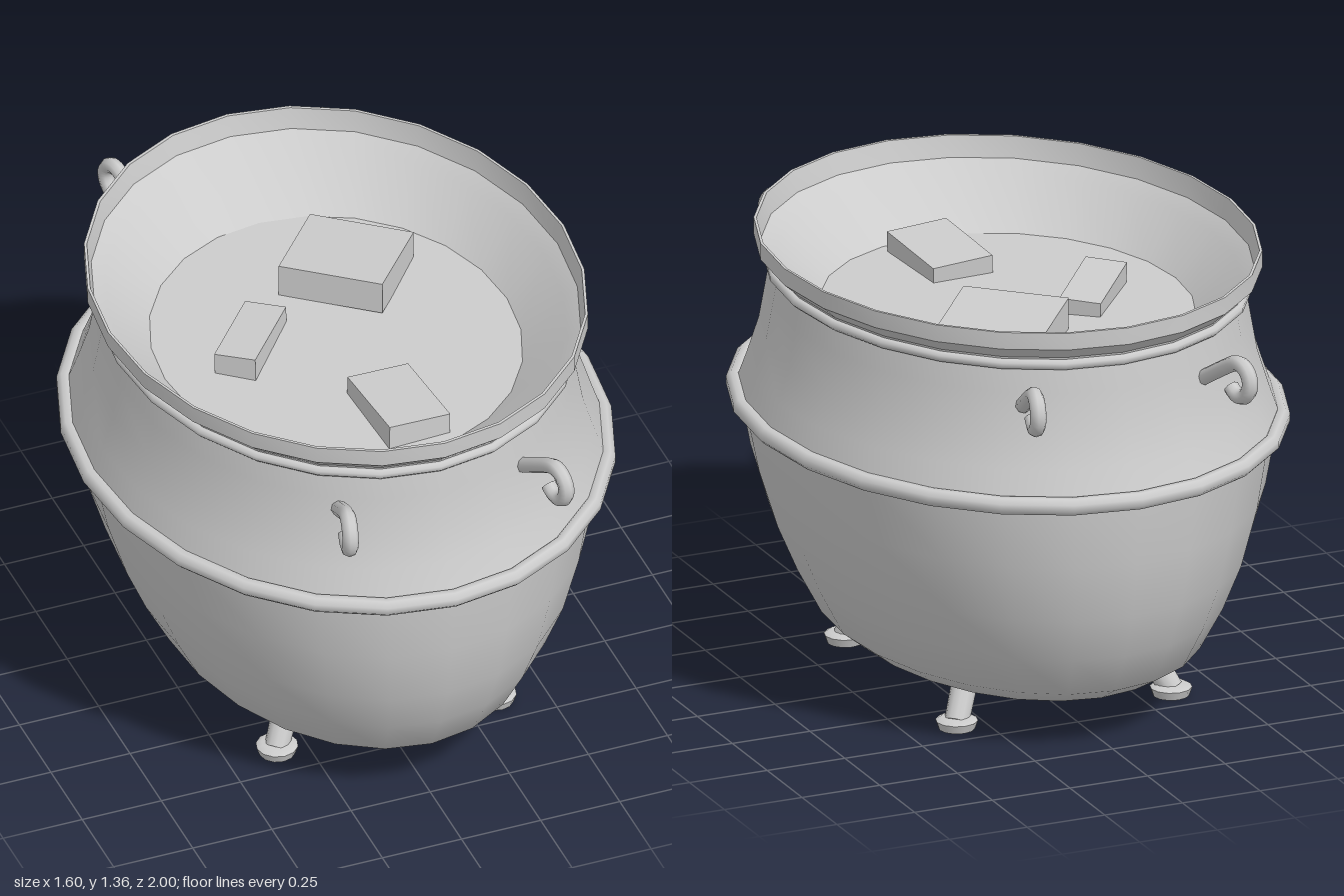
import * as THREE from 'three';
import { mergeVertices, mergeGeometries } from 'three/addons/utils/BufferGeometryUtils.js';

const material = new THREE.MeshStandardMaterial({ color: 0xcccccc });
const shellMaterial = new THREE.MeshStandardMaterial({ color: 0xcccccc, side: THREE.DoubleSide });
const SIDES = 24;

// Oval loft: each row is [half width, half depth, height]; rising rows face outward.
function ovalLoft(rows) {
  const points = rows.map(([rx, , y]) => new THREE.Vector2(rx, y));
  const geo = new THREE.LatheGeometry(points, SIDES);
  const pos = geo.attributes.position;
  for (let i = 0; i < pos.count; i++) {
    const [, rz] = rows[i % rows.length];
    const angle = Math.floor(i / rows.length) / SIDES * Math.PI * 2;
    pos.setZ(i, rz * Math.cos(angle));
  }
  geo.deleteAttribute('normal');
  geo.deleteAttribute('uv');
  const merged = mergeVertices(geo, 1e-5);
  merged.computeVertexNormals();
  return merged;
}

// Oval loft with a sharp edge at every row.
function creasedLoft(rows) {
  return mergeGeometries(rows.slice(1).map((row, i) => ovalLoft([rows[i], row])));
}

// Rounded oval hoop around the body.
function hoop(rx, rz, y, r) {
  const rows = [];
  for (let i = 0; i <= 8; i++) {
    const a = (i + 0.5) / 8 * Math.PI * 2;
    rows.push([rx + r * Math.cos(a), rz + r * Math.cos(a), y + r * Math.sin(a)]);
  }
  return ovalLoft(rows);
}

// Flat oval disc, facing up or down.
function disc(rx, rz, y, up) {
  const geo = new THREE.CircleGeometry(1, SIDES);
  geo.rotateX(up ? -Math.PI / 2 : Math.PI / 2);
  geo.scale(rx, 1, rz);
  geo.translate(0, y, 0);
  return geo;
}

export function createModel() {
  const model = new THREE.Group();
  const add = (name, geo, parent = model, mat = material) => {
    const mesh = new THREE.Mesh(geo, mat);
    mesh.name = name;
    parent.add(mesh);
    return mesh;
  };
  const addShell = (name, geo) => add(name, geo, model, shellMaterial);

  // Pot body and neck
  addShell('bowl', ovalLoft([
    [0.46, 0.668, 0.132], [0.53, 0.765, 0.187], [0.60, 0.84, 0.32],
    [0.66, 0.893, 0.46], [0.718, 0.925, 0.64], [0.76, 0.935, 0.83],
  ]));
  addShell('base', disc(0.46, 0.668, 0.132, false));
  addShell('neck', ovalLoft([
    [0.77, 0.93, 0.85], [0.74, 0.89, 0.94], [0.705, 0.855, 1.05],
    [0.685, 0.838, 1.16], [0.67, 0.825, 1.245],
  ]));

  // Hoops
  add('middleHoop', hoop(0.773, 0.944, 0.845, 0.027));
  add('neckHoop', hoop(0.677, 0.826, 1.247, 0.016));

  // Flared rim, sloping inner wall and contents
  addShell('rim', creasedLoft([
    [0.67, 0.82, 1.245], [0.675, 0.825, 1.268], [0.72, 0.87, 1.308],
    [0.72, 0.87, 1.36], [0.712, 0.86, 1.36], [0.70, 0.843, 1.296],
  ]));
  addShell('innerWall', ovalLoft([[0.70, 0.843, 1.296], [0.66, 0.795, 1.264], [0.54, 0.612, 1.14]]));
  addShell('liquid', disc(0.54, 0.612, 1.14, true));

  // Floating blocks: [width, depth, x, y, z, turn, tilt x, tilt z]
  const blocks = [
    [0.32, 0.30, 0.143, 1.182, -0.28, -0.69, -0.07, 0.02],
    [0.126, 0.305, -0.248, 1.147, -0.055, -0.68, -0.07, 0.05],
    [0.195, 0.30, 0.037, 1.15, 0.405, 0.05, -0.06, -0.05],
  ];
  for (const [w, d, x, y, z, turn, tiltX, tiltZ] of blocks) {
    const block = add('floatingBlock', new THREE.BoxGeometry(w, 0.1, d));
    block.position.set(x, y, z);
    block.rotation.set(tiltX, turn, tiltZ, 'YXZ');
  }

  // Hook path: a straight stem running into a nearly closed curl
  const hookPoint = (z, y) => new THREE.Vector3(0.29 + (z - 0.755) * 0.23, y, z);
  const hookPoints = [hookPoint(0.755, 1.122), hookPoint(0.80, 1.15), hookPoint(0.85, 1.181)];
  for (let i = 0; i <= 9; i++) {
    const a = THREE.MathUtils.degToRad(122 - i * 29);
    hookPoints.push(hookPoint(0.925 + 0.051 * Math.cos(a), 1.165 + 0.051 * Math.sin(a)));
  }
  const hookCurve = new THREE.CatmullRomCurve3(hookPoints);
  const hookGeo = new THREE.TubeGeometry(hookCurve, 30, 0.024, 8);
  const capGeo = new THREE.CircleGeometry(0.024, 8);

  // Splayed leg
  const legTop = new THREE.Vector3(0.27, 0.18, 0.325);
  const legEnd = new THREE.Vector3(0.345, 0.02, 0.40);
  const legDir = legTop.clone().sub(legEnd);
  const legGeo = new THREE.CylinderGeometry(0.04, 0.037, legDir.length(), 12);
  const footGeo = new THREE.LatheGeometry([
    [0, 0], [0.054, 0], [0.054, 0], [0.063, 0.026], [0.063, 0.026], [0.046, 0.036], [0, 0.036],
  ].map(([r, y]) => new THREE.Vector2(r, y)), 12);

  // A hook and a leg in each quarter, mirrored
  for (const sx of [1, -1]) {
    for (const sz of [1, -1]) {
      const hook = new THREE.Group();
      hook.name = 'hookHandle';
      hook.scale.set(sx, 1, sz);
      add('hook', hookGeo, hook);
      for (const t of [0, 1]) {
        const cap = add('hookEnd', capGeo, hook, shellMaterial);
        cap.position.copy(hookCurve.getPoint(t));
        const out = hookCurve.getTangent(t).multiplyScalar(t ? 1 : -1);
        cap.quaternion.setFromUnitVectors(new THREE.Vector3(0, 0, 1), out);
      }
      const leg = new THREE.Group();
      leg.name = 'leg';
      leg.scale.set(sx, 1, sz);
      const shaft = add('legShaft', legGeo, leg);
      shaft.position.copy(legTop).add(legEnd).multiplyScalar(0.5);
      shaft.quaternion.setFromUnitVectors(new THREE.Vector3(0, 1, 0), legDir.clone().normalize());
      add('foot', footGeo, leg).position.set(0.345, 0, 0.40);
      model.add(hook, leg);
    }
  }
  return model;
}
